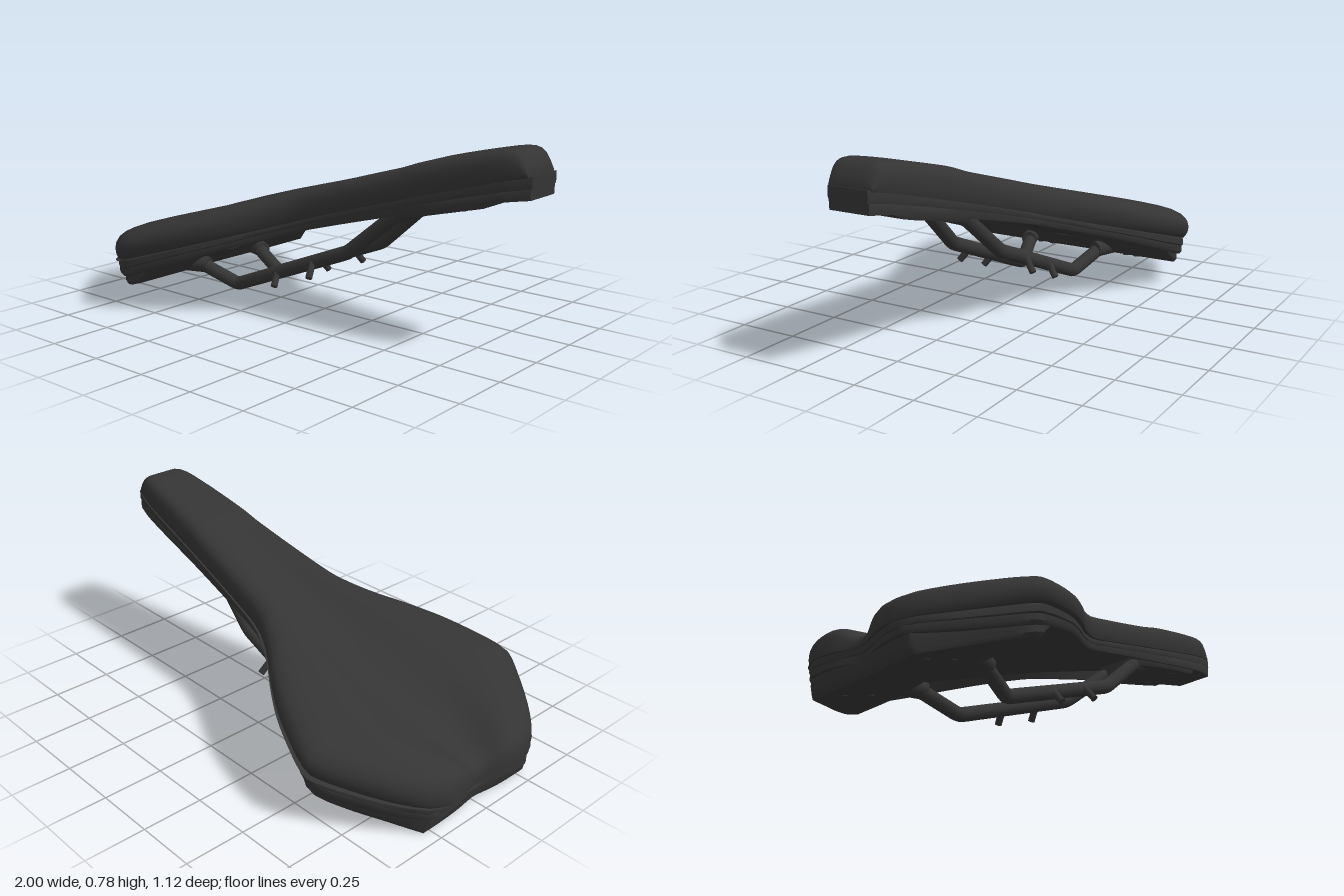
import * as THREE from 'three';
import { toCreasedNormals } from 'three/addons/utils/BufferGeometryUtils.js';

const black = new THREE.MeshStandardMaterial({ color: 0x343434 });
black.name = 'matte black';

// Smooth interpolation through [x, value] pairs
function curve(points) {
  const n = points.length - 1;
  const slope = i => {
    const a = points[Math.max(0, i - 1)], b = points[Math.min(n, i + 1)];
    return (b[1] - a[1]) / (b[0] - a[0]);
  };
  return x => {
    x = Math.min(points[n][0], Math.max(points[0][0], x));
    let i = 0;
    while (i < n - 1 && x > points[i + 1][0]) i++;
    const [x0, y0] = points[i], [x1, y1] = points[i + 1];
    const d = x1 - x0, t = (x - x0) / d, t2 = t * t, t3 = t2 * t;
    return y0 * (2 * t3 - 3 * t2 + 1) + slope(i) * d * (t3 - 2 * t2 + t)
      + y1 * (3 * t2 - 2 * t3) + slope(i + 1) * d * (t3 - t2);
  };
}

// Main lines of the saddle along its length
const halfWidth = curve([[-1, .21], [-.97, .285], [-.93, .335], [-.85, .41], [-.74, .495], [-.64, .56],
  [-.59, .558], [-.48, .518], [-.36, .463], [-.24, .388], [-.12, .303], [0, .238], [.09, .214],
  [.46, .168], [.89, .12], [1, .087]]);
const topLine = curve([[-1, .19], [-.985, .215], [-.93, .252], [-.62, .357], [-.24, .468], [0, .538],
  [.44, .664], [.55, .702], [.85, .774], [.925, .782], [.955, .768], [.975, .735], [.985, .71]]);
const seam = curve([[-1, .12], [-.85, .155], [-.62, .22], [-.48, .262], [-.24, .335], [0, .41],
  [.1, .443], [.46, .55], [.89, .67], [1, .695]]);
const rim = curve([[-1, .07], [-.85, .09], [-.62, .145], [-.48, .195], [-.24, .285], [0, .365],
  [.1, .397], [.46, .493], [.89, .597], [.95, .607], [1, .614]]);
const midSeam = x => (seam(x) + rim(x)) / 2;
const channelWidth = curve([[-1, .08], [-.9, .12], [-.65, .19], [-.35, .175], [0, .115], [.4, .065]]);
const channelDepth = curve([[-1, .05], [-.88, .066], [-.5, .063], [-.2, .052], [.1, .028], [.45, 0]]);

const clamp01 = v => Math.min(1, Math.max(0, v));
const mix = (a, b, t) => a + (b - a) * t;
const rearNotch = (x, z) => .045 * Math.exp(-((z / .1) ** 2)) * clamp01((-.7 - x) / .3);
const hollow = x => clamp01((.88 - x) / .05) * clamp01((x + .95) / .05);
// The hollow's ceiling sags along the middle, below the channel
const ceiling = (x, z) => seam(x) - .015 - .8 * channelDepth(x) * Math.exp(-((z / .17) ** 2));
const stations = (a, b, n) => Array.from({ length: n + 1 }, (_, i) => mix(a, b, i / n));

// Closed loft: each station gives mirrored [z, yUpper, yLower] columns from edge to centre
function loft(xs, columns, shift = rearNotch) {
  const pos = [], index = [];
  let M = 0;
  xs.forEach(x => {
    const half = columns(x);
    const full = [...half.map(c => [-c[0], c[1], c[2]]), ...half.slice(0, -1).reverse()];
    const xz = z => x + shift(x, z);
    full.forEach(c => pos.push(xz(c[0]), c[1], c[0]));
    full.reverse().forEach(c => pos.push(xz(c[0]), c[2], c[0]));
    M = full.length * 2;
  });
  const quad = (a, b, c, d) => index.push(a, b, c, a, c, d);
  for (let i = 0; i < xs.length - 1; i++) {
    for (let j = 0; j < M; j++) {
      const k = (j + 1) % M;
      quad(i * M + j, i * M + k, (i + 1) * M + k, (i + 1) * M + j);
    }
  }
  const e = (xs.length - 1) * M;
  for (let j = 0; j < M / 2 - 1; j++) {
    quad(e + j, e + j + 1, e + M - 2 - j, e + M - 1 - j);
    quad(M - 1 - j, M - 2 - j, j + 1, j);
  }
  const g = new THREE.BufferGeometry();
  g.setAttribute('position', new THREE.Float32BufferAttribute(pos, 3));
  g.setIndex(index);
  return toCreasedNormals(g, .7);
}

// Straight path with rounded bends
function bentPath(points, r) {
  const p = points.map(a => new THREE.Vector3(...a)), path = new THREE.CurvePath();
  let last = p[0];
  for (let i = 1; i < p.length - 1; i++) {
    const a = p[i].clone().add(p[i - 1].clone().sub(p[i]).setLength(r));
    const b = p[i].clone().add(p[i + 1].clone().sub(p[i]).setLength(r));
    path.add(new THREE.LineCurve3(last, a));
    path.add(new THREE.QuadraticBezierCurve3(a, p[i], b));
    last = b;
  }
  path.add(new THREE.LineCurve3(last, p[p.length - 1]));
  return path;
}

export function createModel() {
  const group = new THREE.Group();
  const add = (name, geometry) => {
    const mesh = new THREE.Mesh(geometry, black);
    mesh.name = name;
    group.add(mesh);
    return mesh;
  };
  // Cylinder between two points
  const rod = (name, a, b, r0, r1 = r0) => {
    const from = new THREE.Vector3(...a), dir = new THREE.Vector3(...b).sub(from);
    const mesh = add(name, new THREE.CylinderGeometry(r1, r0, dir.length(), 16));
    mesh.position.copy(from).addScaledVector(dir, .5);
    mesh.quaternion.setFromUnitVectors(new THREE.Vector3(0, 1, 0), dir.normalize());
  };

  // Padded top with a broad central channel fading toward the nose
  const dome = [[.955, 0], [.975, .08], [.993, .22], [1, .4], [.985, .6], [.935, .78], [.85, .9], [.75, .96],
    [.65, .99], [.55, 1], [.46, 1], [.38, 1], [.31, 1], [.25, 1], [.19, 1], [.13, 1], [.065, 1], [0, 1]];
  const padX = [-1, -.985, -.965, ...stations(-.93, .92, 56), .94, .955, .967, .977, .985];
  add('pad', loft(padX, x => {
    const w = halfWidth(x), s = seam(x), h = topLine(x) - s;
    return dome.map(([t, f]) => {
      const z = t * w;
      return [z, s + h * f - channelDepth(x) * Math.exp(-((z / channelWidth(x)) ** 3)) * clamp01(f * 2 - 1), s];
    });
  }));

  // Trim strip under the pad
  add('trimStrip', loft([...stations(-.99, .985, 60), 1], x => {
    const w = halfWidth(x) * .975, s = seam(x) + .004, m = midSeam(x), h = s - m;
    const inner = mix(m, s - .007, hollow(x));
    return [[w * .985, s - .22 * h, m + .15 * h], [w * .97, s, m], [w * .9, s, m], [w * .82, s, inner], [0, s, inner]];
  }));

  // Base shell, hollow underneath and closed at both ends
  add('baseShell', loft([...stations(-.98, .96, 60), .985, .995], x => {
    const w = halfWidth(x) * .95, m = midSeam(x) + .004, b = rim(x), h = m - b;
    const roof = mix(m, seam(x) - .006, hollow(x));
    const inner = [.85, .7, .55, .42, .3, .2, .1, 0].map(t =>
      [w * t, roof, mix(b, ceiling(x, w * t), hollow(x))]);
    return [[w, m - .1 * h, b + .3 * h], [w * .98, m, b], [w * .92, m, b], ...inner];
  }));

  // Rear underside cover, its sloped front meeting the ceiling of the hollow
  const coverWidth = curve([[-.96, .27], [-.9, .318], [-.826, .375], [-.73, .45], [-.62, .517],
    [-.56, .51], [-.465, .475]]);
  const coverLine = x => .004 + (x + .94) * .315;
  const coverShift = (x, z) => rearNotch(x, z) * .4
    - .07 * Math.exp(-((z / .15) ** 2)) * clamp01((x + .82) / .3);
  add('rearCover', loft([-.96, -.94, ...stations(-.9, -.58, 8), -.555, -.525, -.495, -.465], x => {
    const w = coverWidth(x);
    return [1, .975, .85, .7, .5, .4, .32, .24, .16, .08, 0].map((t, i) => {
      const z = t * w, xs = x + coverShift(x, z), top = ceiling(xs, z) - .002;
      const front = clamp01((x + .58) / .115);
      const low = Math.max(.002, coverLine(xs)) + (x < -.95 ? .03 : 0) + (i === 0 ? .015 : 0);
      return [z, top, Math.min(top - .003, mix(low, top, front))];
    });
  }, coverShift));

  // Nose underside cover
  const noseWidth = curve([[.42, .1], [.45, .128], [.5, .137], [.7, .125], [.82, .108], [.86, .095], [.885, .06]]);
  const noseLow = x => rim(x) - .016 + .016 * clamp01((x - .82) / .06);
  add('noseCover', loft([.42, .43, .45, .5, .6, .7, .78, .82, .85, .87, .885], x => {
    const w = noseWidth(x), top = seam(x) - .01, low = noseLow(x);
    return [[w, top, low + .015], [w * .94, top, low], [w * .5, top, low], [0, top, low]];
  }));

  for (const side of [-1, 1]) {
    // Mounting rail and its rear socket
    const railPoints = [[.54, .52, .07], [.42, .478, .085], [.21, .303, .112], [-.38, .07, .13],
      [-.54, .135, .175], [-.64, .155, .21]].map(([x, y, z]) => [x, y, z * side]);
    add('rail', new THREE.TubeGeometry(bentPath(railPoints, .02), 110, .029, 14, false));
    rod('railSocket', [-.67, .145, .222 * side], [-.515, .138, .17 * side], .042, .034);

    // Small pegs on the rails
    for (const [x, y] of [[-.135, .16], [.055, .23]]) {
      rod('railPeg', [x - .01, y + .015, .13 * side], [x + .008, y - .045, .176 * side], .014);
    }

    // Cover screws
    for (const x of [.52, .72]) {
      rod('noseScrew', [x, noseLow(x) + .01, .073 * side], [x + .002, noseLow(x) - .003, .073 * side], .013);
    }
    for (const x of [-.85, -.73]) {
      rod('rearScrew', [x, coverLine(x) + .01, .225 * side], [x + .002, coverLine(x) - .003, .225 * side], .013);
    }
  }
  return group;
}
